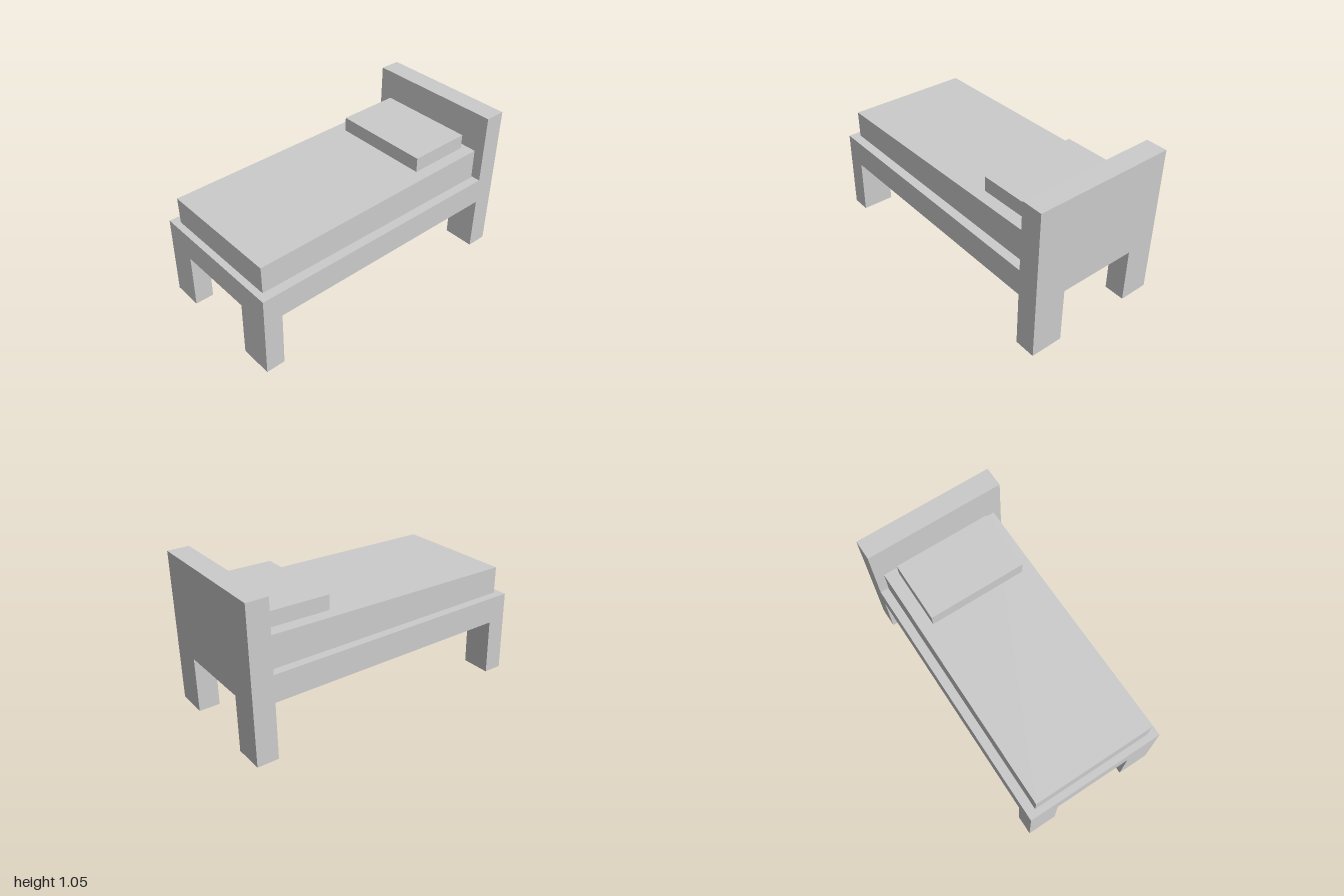
import * as THREE from 'three';

const material = new THREE.MeshStandardMaterial({ color: 0xcccccc, flatShading: true });

// Box given by its extents along each axis
function block(name, [x0, x1], [y0, y1], [z0, z1]) {
  const mesh = new THREE.Mesh(new THREE.BoxGeometry(x1 - x0, y1 - y0, z1 - z0), material);
  mesh.position.set((x0 + x1) / 2, (y0 + y1) / 2, (z0 + z1) / 2);
  mesh.name = name;
  return mesh;
}

export function createModel() {
  const bed = new THREE.Group();
  bed.name = 'bed';

  // Wooden frame, sloping slightly down towards the head
  const frame = new THREE.Group();
  frame.name = 'frame';
  frame.rotation.x = -0.0165;
  const width = [-0.49, 0.488];
  const floor = 0.0175, underside = 0.403;
  const head = [-0.984, -0.839], foot = [0.87, 1];
  frame.add(block('deck', width, [underside, 0.584], [head[1], foot[1]]));
  frame.add(block('headboard', width, [underside, 1.064], head));

  // Four legs flush with the outer corners
  const legSides = { right: [width[0], -0.283], left: [0.265, width[1]] };
  for (const [side, x] of Object.entries(legSides)) {
    frame.add(block(side + 'FrontLeg', x, [floor, underside], foot));
    frame.add(block(side + 'BackLeg', x, [floor, underside], head));
  }
  bed.add(frame);

  // Level bedding
  bed.add(block('mattress', [-0.43, 0.425], [0.565, 0.785], [-0.84, 0.945]));
  bed.add(block('pillow', [-0.342, 0.341], [0.78, 0.886], [-0.797, -0.365]));
  return bed;
}
